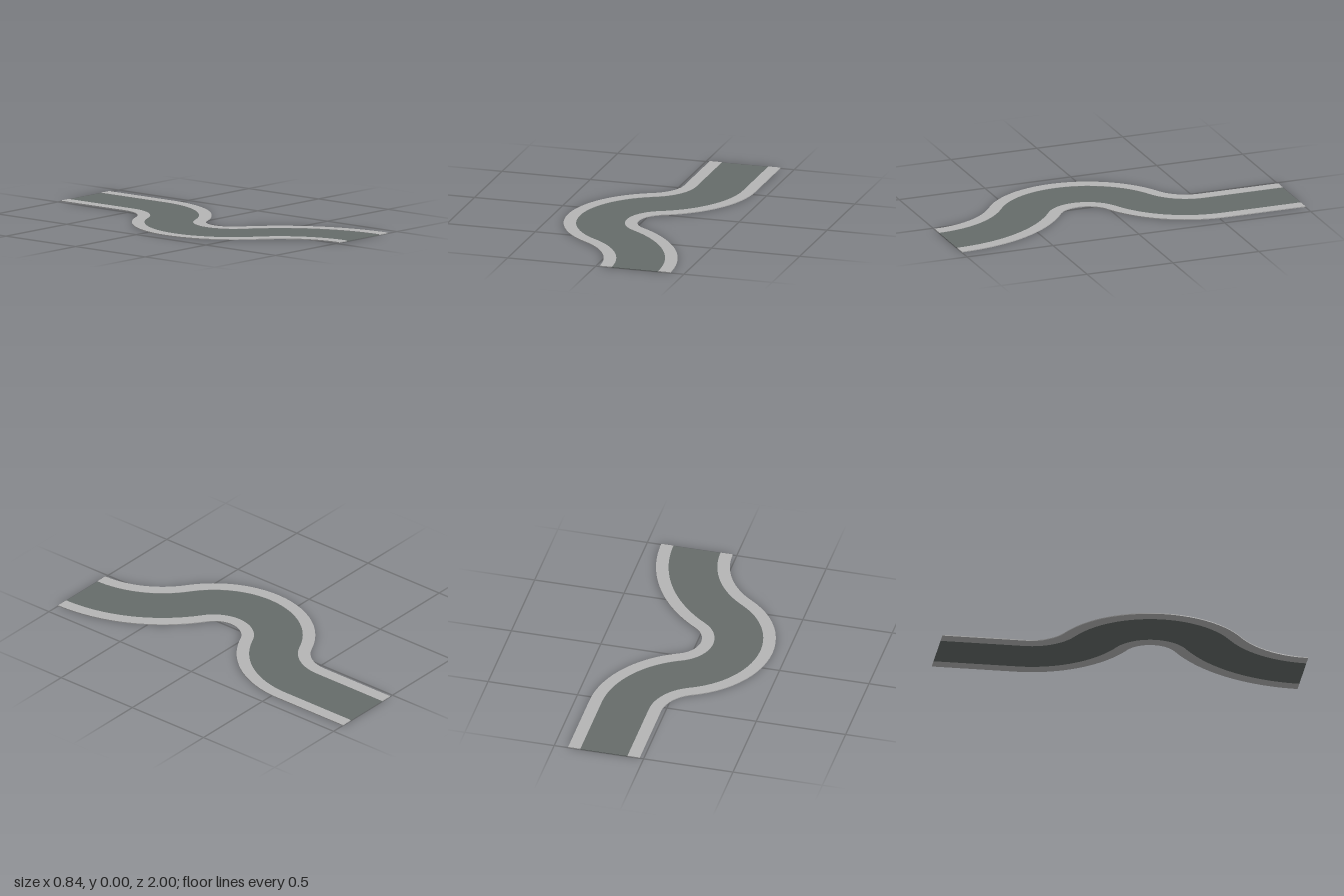
import * as THREE from 'three';
import { toCreasedNormals } from 'three/addons/utils/BufferGeometryUtils.js';

// Centreline stations: position and side vector, made of a straight and three tangent arcs
function buildPath() {
  const EDGE = 0.222, START = -0.54, BEND = 0.15, R = 0.35, STEPS = 24;
  const reverseCurve = (length) => {
    const angle = 2 * Math.atan((2 * EDGE) / length);
    return { angle, radius: length / Math.sin(angle) - R };
  };
  const back = reverseCurve(BEND - START);
  const front = reverseCurve(1 - BEND);
  const stations = [{ x: EDGE, z: -1, sx: 1, sz: 0 }];
  const addArc = (cx, cz, r, from, to, first) => {
    for (let i = first; i <= STEPS; i++) {
      const h = from + ((to - from) * i) / STEPS;
      const sx = Math.cos(h), sz = Math.sin(h);
      stations.push({ x: cx + r * sx, z: cz + r * sz, sx, sz });
    }
  };
  addArc(EDGE - back.radius, START, back.radius, 0, back.angle, 0);
  addArc(R - EDGE, BEND, -R, back.angle, -front.angle, 1);
  addArc(EDGE - front.radius, 1, front.radius, -front.angle, 0, 1);
  return stations;
}

// Sweep a closed counter-clockwise section of [offset, height] along the path
function sweep(path, section) {
  const n = section.length, pos = [], index = [];
  for (const p of path) {
    for (const [u, y] of section) pos.push(p.x + p.sx * u, y, p.z + p.sz * u);
  }
  for (let i = 0; i < path.length - 1; i++) {
    for (let j = 0; j < n; j++) {
      const k = (j + 1) % n;
      const a = i * n + j, b = i * n + k, c = b + n, d = a + n;
      index.push(a, b, c, a, c, d);
    }
  }
  const last = (path.length - 1) * n;
  for (let j = 1; j < n - 1; j++) {
    index.push(0, j + 1, j, last, last + j, last + j + 1);
  }
  const g = new THREE.BufferGeometry();
  g.setAttribute('position', new THREE.Float32BufferAttribute(pos, 3));
  g.setIndex(index);
  return toCreasedNormals(g, Math.PI / 6);
}

export function createModel() {
  const asphalt = new THREE.MeshStandardMaterial({ color: 0x666c6a });
  asphalt.name = 'asphalt';
  const concrete = new THREE.MeshStandardMaterial({ color: 0xb5b5b5 });
  concrete.name = 'concrete';

  const group = new THREE.Group();
  group.name = 'windingRoad';
  const path = buildPath();
  const add = (name, section, material) => {
    const mesh = new THREE.Mesh(sweep(path, section), material);
    mesh.name = name;
    group.add(mesh);
  };

  const HALF = 0.2, INNER = 0.132;
  // Road surface
  add('roadSurface', [[-INNER, 0], [INNER, 0], [INNER, 0.003], [-INNER, 0.003]], asphalt);
  // Raised pavements on both sides
  add('leftPavement', [[INNER, 0], [HALF, 0], [HALF, 0.005], [INNER, 0.005]], concrete);
  add('rightPavement', [[-HALF, 0], [-INNER, 0], [-INNER, 0.005], [-HALF, 0.005]], concrete);
  return group;
}
